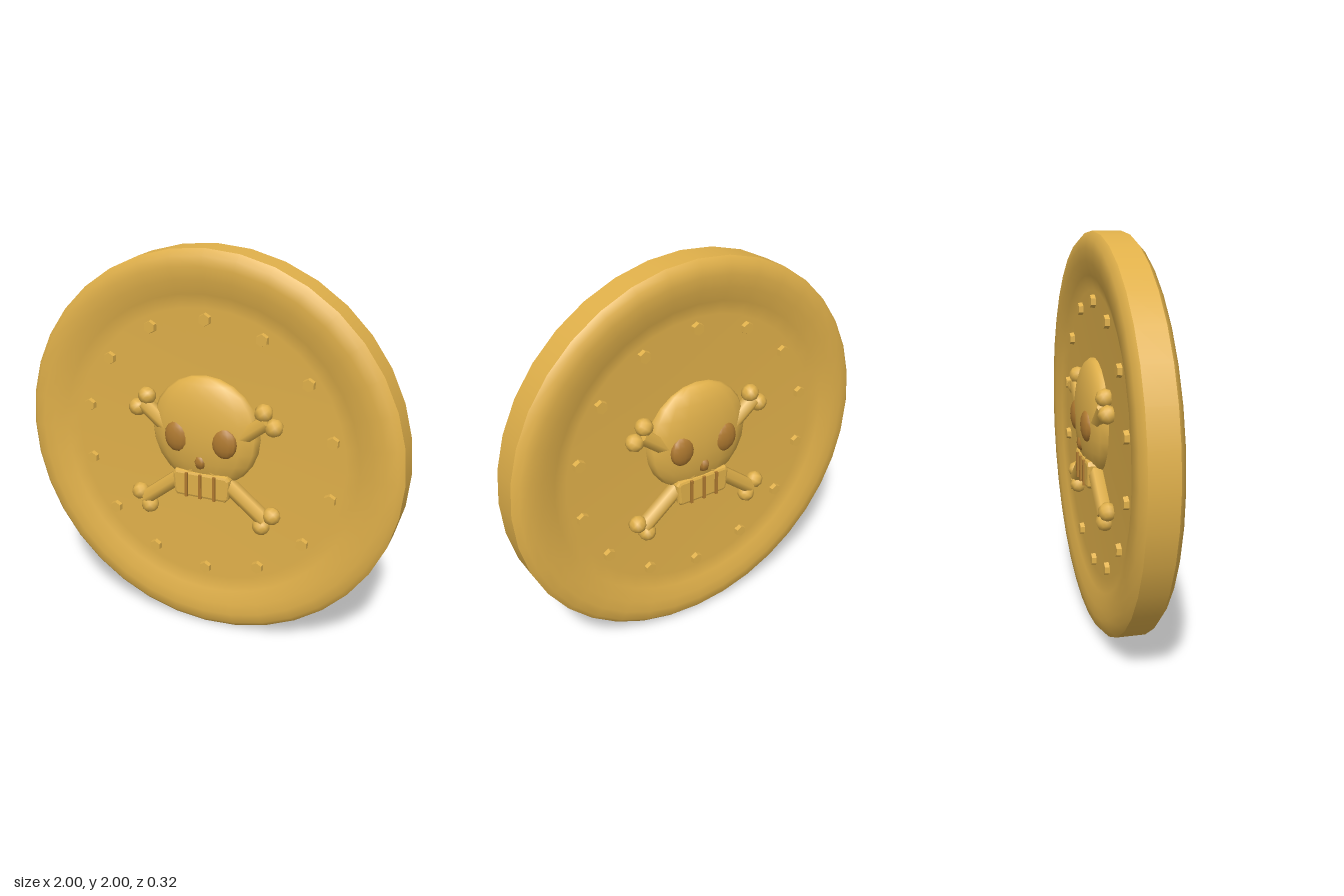
import * as THREE from 'three';

const gold = new THREE.MeshStandardMaterial({ color: 0xe0b04a });
const darkGold = new THREE.MeshStandardMaterial({ color: 0xb07a30 });

function add(parent, name, geometry, x = 0, y = 0, z = 0, material = gold) {
  const mesh = new THREE.Mesh(geometry, material);
  mesh.name = name;
  mesh.position.set(x, y, z);
  parent.add(mesh);
  return mesh;
}

// Flattened ball, used for cranium, eyes, nose and knuckles
function ball(rx, ry, rz, w, h) {
  return new THREE.SphereGeometry(1, w, h).scale(rx, ry, rz);
}

// One crossed bone: a six-sided shaft with two knuckles at each end
function bone(side) {
  const g = new THREE.Group();
  g.name = 'crossbone';
  const shaft = new THREE.CylinderGeometry(0.042, 0.042, 0.84, 6);
  add(g, 'boneShaft', shaft);
  for (const end of [-1, 1])
    for (const s of [-1, 1])
      add(g, 'boneKnuckle', ball(0.046, 0.046, 0.046, 8, 6), s * 0.043, end * 0.43, 0);
  g.position.set(0, -0.05, 0.083);
  g.rotation.z = side * Math.atan2(0.337, 0.268);
  return g;
}

// Everything on one side of the coin
function coinFace() {
  const g = new THREE.Group();
  g.name = 'coinFace';

  // Rounded rim sloping into the recessed field
  const profile = [[1, 0.07], [0.97, 0.098], [0.92, 0.103], [0.86, 0.1], [0.79, 0.08], [0.72, 0.06], [0, 0.055]]
    .map(([r, z]) => new THREE.Vector2(r, z));
  add(g, 'rimAndField', new THREE.LatheGeometry(profile, 36).rotateX(Math.PI / 2));

  // Ring of studs
  for (let i = 0; i < 14; i++) {
    const a = (i / 14) * Math.PI * 2;
    const stud = new THREE.CylinderGeometry(0.03, 0.035, 0.04, 6).toNonIndexed().rotateX(Math.PI / 2);
    stud.computeVertexNormals();
    add(g, 'stud', stud, 0.667 * Math.sin(a), 0.667 * Math.cos(a), 0.063);
  }

  g.add(bone(1), bone(-1));

  // Skull
  add(g, 'cranium', ball(0.29, 0.29, 0.09, 16, 12), 0, 0.1, 0.06);
  for (const s of [-1, 1])
    add(g, 'eyeSocket', ball(0.068, 0.08, 0.032, 12, 8), s * 0.125, 0.08, 0.127, darkGold);
  add(g, 'nose', ball(0.033, 0.04, 0.025, 6, 4), 0, -0.038, 0.13, darkGold);

  // Tapered jaw with bevelled edges
  const jaw = new THREE.Shape();
  [[-0.13, -0.24], [0.13, -0.24], [0.145, -0.225], [0.155, -0.12], [0.14, -0.1], [-0.14, -0.1], [-0.155, -0.12], [-0.145, -0.225]]
    .forEach(([x, y], i) => (i ? jaw.lineTo(x, y) : jaw.moveTo(x, y)));
  const jawGeometry = new THREE.ExtrudeGeometry(jaw, {
    depth: 0.07, bevelThickness: 0.015, bevelSize: 0.015, bevelOffset: -0.015, bevelSegments: 2,
  });
  add(g, 'jaw', jawGeometry, 0, 0, 0.047);
  for (const x of [-0.075, 0, 0.075])
    add(g, 'toothGap', new THREE.BoxGeometry(0.015, 0.13, 0.02), x, -0.172, 0.131, darkGold);
  return g;
}

export function createModel() {
  const model = new THREE.Group();
  model.name = 'coin';

  // Outer edge
  const wall = new THREE.CylinderGeometry(1, 1, 0.14, 36, 1, true).rotateX(Math.PI / 2);
  add(model, 'outerEdge', wall, 0, 1, 0);

  // Same relief on front and back
  for (const turn of [0, Math.PI]) {
    const face = coinFace();
    face.position.y = 1;
    face.rotation.y = turn;
    model.add(face);
  }
  return model;
}
